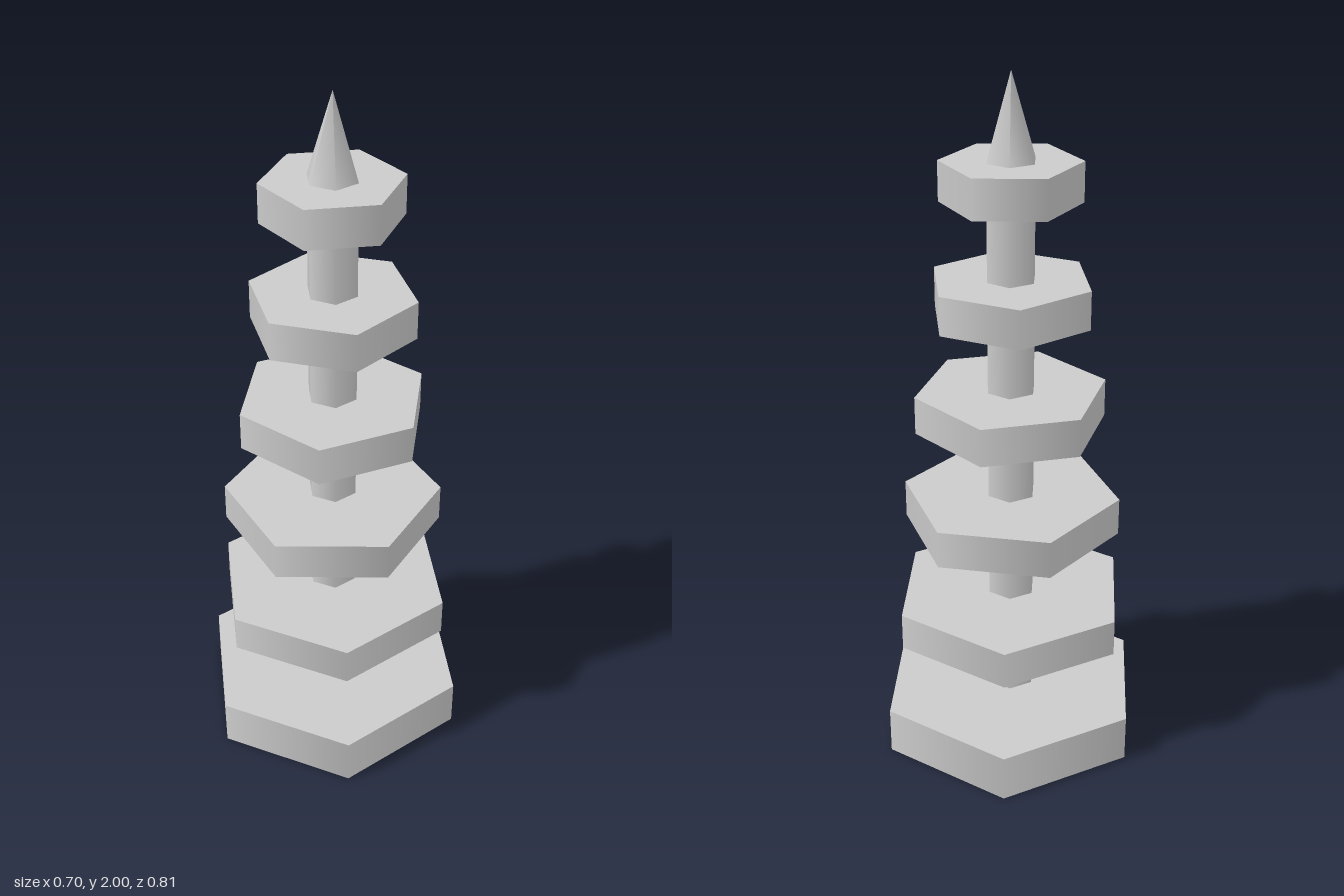
import * as THREE from 'three';

const SIDES = 6;

export function createModel() {
  const group = new THREE.Group();
  const material = new THREE.MeshStandardMaterial({ color: 0xcccccc });

  // Hexagonal prism standing on height y, turned about the vertical axis
  const addPrism = (name, rTop, rBottom, y, height, turn = 0) => {
    const geometry = rTop > 0
      ? new THREE.CylinderGeometry(rTop, rBottom, height, SIDES)
      : new THREE.ConeGeometry(rBottom, height, SIDES);
    const mesh = new THREE.Mesh(geometry, material);
    mesh.name = name;
    mesh.position.y = y + height / 2;
    mesh.rotation.y = turn;
    group.add(mesh);
  };

  // Base slab, central pole and pointed finial
  addPrism('base', 0.405, 0.405, 0, 0.142);
  addPrism('pole', 0.0725, 0.0725, 0.142, 1.615);
  addPrism('finial', 0, 0.0725, 1.765, 0.235);

  // Five tiers, each smaller and twisted further than the one below
  for (let i = 0; i < 5; i++) {
    const r = 0.355 - i * 0.0406;
    addPrism(`tier${i + 1}`, r, r, 0.355 + i * 0.325, 0.111, i * 0.4);
  }
  return group;
}
